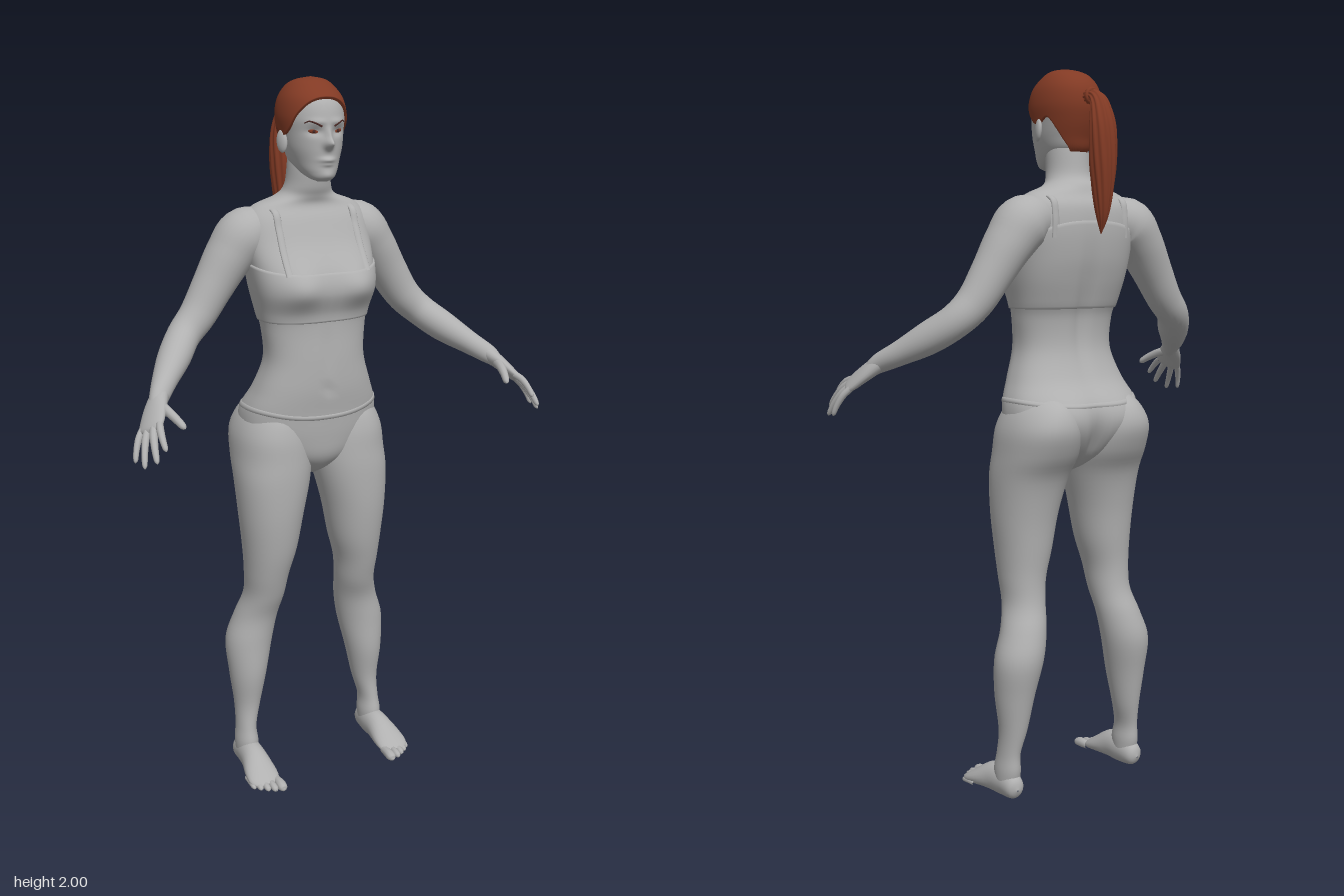
import * as THREE from 'three';

const V = (x, y, z) => new THREE.Vector3(x, y, z);
const skin = new THREE.MeshStandardMaterial({ color: 0xb0b0b0 });
skin.name = 'grey skin';
const hair = new THREE.MeshStandardMaterial({ color: 0x823a24 });
hair.name = 'auburn hair';
const dark = new THREE.MeshStandardMaterial({ color: 0x4a2a26 });
dark.name = 'dark eye';

// Catmull-Rom blend between rows of numbers
function spline(rows, t) {
  const n = rows.length, i = Math.max(0, Math.min(Math.floor(t), n - 2)), f = t - i;
  const P = k => rows[Math.max(0, Math.min(n - 1, i + k))];
  return rows[0].map((_, c) => {
    const a = P(-1)[c], b = P(0)[c], d = P(1)[c], e = P(2)[c];
    return b + 0.5 * f * (d - a + f * (2 * a - 5 * b + 4 * d - e + f * (3 * (b - d) + e - a)));
  });
}

// Closed rings joined into a smooth skin
function grid(rings, n, point) {
  const pos = [], idx = [];
  for (let i = 0; i <= rings; i++)
    for (let j = 0; j < n; j++) pos.push(...point(i / rings, j / n * Math.PI * 2).toArray());
  for (let i = 0; i < rings; i++)
    for (let j = 0; j < n; j++) {
      const a = i * n + j, b = i * n + (j + 1) % n;
      idx.push(a, b, a + n, b, b + n, a + n);
    }
  const g = new THREE.BufferGeometry();
  g.setAttribute('position', new THREE.Float32BufferAttribute(pos, 3));
  g.setIndex(idx);
  g.computeVertexNormals();
  return g;
}

// Body surface from level sections [y, centre x, half width, front z, back z, squareness]
function surface(rows, rule = p => p) {
  const at = (t, a) => {
    const [y, cx, w, f, b, e] = spline(rows, t);
    const pw = v => Math.sign(v) * Math.abs(v) ** (2 / e);
    return rule(V(cx + w * pw(Math.sin(a)), y, (f + b) / 2 + (f - b) / 2 * pw(Math.cos(a))));
  };
  const max = rows.length - 1;
  const tOf = y => {
    let lo = 0, hi = max;
    for (let k = 0; k < 30; k++) {
      const m = (lo + hi) / 2;
      if (spline(rows, m)[0] < y) lo = m; else hi = m;
    }
    return lo;
  };
  return { at, tOf, max, geo: (rings, n) => grid(rings, n, (s, a) => at(s * max, a)) };
}

// Thin layer over a surface, between two heights that vary with angle
function layer(surf, low, high, off, n, rings, centre) {
  return grid(rings, n, (s, a) => {
    const t0 = surf.tOf(low(a)), t1 = surf.tOf(high(a));
    const k = Math.min(1, Math.max(0, s * rings - 1) / rings * (rings / (rings - 2)));
    const p = surf.at(t0 + (t1 - t0) * k, a);
    const dir = V(p.x, centre.y === null ? 0 : p.y - centre.y, p.z - centre.z).normalize();
    const edge = s === 0 || (s === 1 && centre.y === null);
    return p.addScaledVector(dir, edge ? -0.003 : off);
  });
}

// Round limb along points [x, y, z, radius along ref, radius across]
function limb(rows, ref, rings = 24, n = 20, ridge = () => 1) {
  const max = rows.length - 1, at = t => V(...spline(rows, t).slice(0, 3));
  return grid(rings, n, (s, a) => {
    const t = s * max, row = spline(rows, t);
    const tan = at(Math.min(max, t + 0.05)).sub(at(Math.max(0, t - 0.05))).normalize();
    const u = ref.clone().addScaledVector(tan, -ref.dot(tan)).normalize();
    const v = tan.clone().cross(u), k = ridge(s, a);
    return V(row[0], row[1], row[2])
      .addScaledVector(u, Math.cos(a) * row[3] * k).addScaledVector(v, Math.sin(a) * row[4] * k);
  });
}

const bump = (dx, dy, sx, sy) => Math.exp(-((dx / sx) ** 2) - (dy / sy) ** 2);

export function createModel() {
  const model = new THREE.Group();
  model.name = 'woman';
  const add = (name, geo, mat = skin) => {
    const m = new THREE.Mesh(geo, mat);
    m.name = name;
    model.add(m);
  };
  // Left part plus its mirror image
  const both = (name, geo, mat = skin) => {
    add('left ' + name, geo, mat);
    const g = geo.clone().scale(-1, 1, 1), ix = g.index.array;
    for (let i = 0; i < ix.length; i += 3) [ix[i], ix[i + 1]] = [ix[i + 1], ix[i]];
    add('right ' + name, g, mat);
  };

  // Torso and neck, with bust, navel, spine and seat shaped by rule
  const torso = surface([
    [.905, 0, .012, -.03, -.07, 2], [.93, 0, .06, .01, -.12, 2], [.97, 0, .14, .04, -.17, 2.1],
    [1.03, 0, .195, .05, -.2, 2.3], [1.1, 0, .2, .055, -.198, 2.4], [1.17, 0, .172, .062, -.155, 2.4],
    [1.25, 0, .146, .062, -.127, 2.4], [1.33, 0, .15, .058, -.127, 2.4], [1.38, 0, .158, .06, -.142, 2.6],
    [1.44, 0, .17, .077, -.16, 2.8], [1.5, 0, .178, .066, -.174, 2.7], [1.57, 0, .185, .026, -.181, 2.5],
    [1.63, 0, .18, -.002, -.176, 2.3], [1.665, 0, .15, -.02, -.157, 2.1], [1.69, 0, .085, -.015, -.145, 2],
    [1.72, 0, .064, -.005, -.126, 2], [1.78, 0, .058, 0, -.118, 2], [1.83, 0, .05, -.02, -.11, 2]
  ], p => {
    const x = Math.abs(p.x);
    if (p.z > -.03) p.z += .02 * bump(x - .085, p.y - 1.455, .055, .05)
      - .006 * bump(x, p.y - 1.17, .012, .014) - .004 * bump(x, p.y - 1.28, .012, .07);
    else p.z += .012 * bump(x, p.y - 1.35, .02, .16) + .02 * bump(x, p.y - 1.0, .018, .06)
      - .015 * bump(x - .09, p.y - 1.06, .07, .06);
    return p;
  });
  add('torso', torso.geo(90, 80));

  // Sports top, its straps, and the waistband of the briefs
  const flat = { y: null, z: -.05 };
  add('sports top', layer(torso, () => 1.36, a => 1.515 - .02 * Math.cos(a) + .06 * Math.max(0, -Math.cos(a)),
    .004, 80, 26, flat));
  const strapRows = [];
  for (const [y, back] of [[1.49, 0], [1.55, 0], [1.61, 0], [1.655, 0], [1.655, 1], [1.61, 1], [1.55, 1]]) {
    const t = torso.tOf(y);
    let a = 0;
    while (a < 1.5 && torso.at(t, a).x < .115) a += .01;
    const p = torso.at(t, back ? Math.PI - a : a);
    strapRows.push([p.x, p.y, p.z, .011, .005]);
  }
  both('strap', limb(strapRows, V(1, 0, 0), 30, 10));
  const waist = a => 1.108 + .014 * Math.sin(a) ** 2 - .012 * Math.max(0, Math.cos(a)) ** 4;
  add('briefs waistband', layer(torso, a => waist(a) - .012, waist, .002, 80, 4, flat));

  // Legs
  const leg = surface([
    [.03, .21, .03, -.03, -.1, 2], [.08, .21, .033, -.02, -.112, 2], [.13, .209, .029, -.03, -.112, 2],
    [.2, .2, .038, -.035, -.125, 2], [.3, .195, .055, -.022, -.142, 2], [.4, .186, .069, -.022, -.16, 2],
    [.48, .166, .064, -.018, -.148, 2], [.55, .15, .058, .005, -.126, 2.1], [.62, .146, .063, .025, -.12, 2.1],
    [.7, .138, .077, .043, -.126, 2.1], [.8, .133, .092, .055, -.137, 2.1], [.9, .124, .106, .058, -.16, 2.2],
    [.97, .117, .11, .055, -.2, 2.2], [1.04, .117, .102, .048, -.222, 2.2], [1.1, .112, .078, .025, -.2, 2],
    [1.14, .11, .03, -.03, -.14, 2]
  ]);
  both('leg', leg.geo(70, 40));

  // Feet and toes
  both('foot', limb([
    [.213, .034, -.122, .002, .002], [.212, .036, -.108, .026, .03], [.21, .044, -.06, .034, .043],
    [.212, .043, -.01, .038, .042], [.216, .028, .045, .047, .027], [.218, .017, .082, .044, .015],
    [.218, .014, .102, .02, .006]], V(1, 0, 0), 30, 24));
  [[.183, .138, .014], [.206, .133, .01], [.224, .122, .0095], [.241, .109, .009], [.256, .094, .0085]]
    .forEach(([x, z, r], i) => both('toe ' + (i + 1), limb([
      [x, .014, z - .06, r * .8, r * .8], [x, .014, z - .03, r, r], [x, .012, z - .012, r, r * .9],
      [x, .01, z - .003, r * .65, r * .6], [x, .01, z, .0005, .0005]], V(1, 0, 0), 14, 10)));

  // Arms
  both('arm', limb([
    [.1, 1.6, -.1, .05, .05], [.17, 1.588, -.1, .077, .074], [.22, 1.535, -.1, .071, .066],
    [.27, 1.46, -.097, .058, .057], [.32, 1.385, -.09, .05, .05], [.37, 1.335, -.073, .047, .045],
    [.42, 1.29, -.02, .046, .043], [.47, 1.25, .04, .035, .033], [.505, 1.222, .088, .025, .027],
    [.522, 1.204, .107, .02, .02]], V(0, 0, 1), 50, 28));

  // Hands: palm, four fingers and thumb
  const across = V(.5, -.36, -.75).normalize();
  both('palm', limb([
    [.5, 1.227, .082, .024, .02], [.515, 1.212, .1, .03, .021], [.533, 1.192, .124, .037, .018],
    [.553, 1.167, .153, .039, .014], [.562, 1.158, .165, .03, .009], [.566, 1.154, .17, .001, .001]], across, 20, 20));
  const digit = (name, a, b, r) => {
    const m = k => a.clone().lerp(b, k).add(V(.004, .008, 0).multiplyScalar(Math.sin(k * Math.PI))).toArray();
    both(name, limb([[...m(0), r, r], [...m(.35), r, r], [...m(.7), r * .85, r * .85],
      [...m(.93), r * .65, r * .65], [...m(1), .0005, .0005]], across, 16, 10));
  };
  [['index finger', V(.552, 1.125, .25)], ['middle finger', V(.575, 1.095, .246)],
    ['ring finger', V(.597, 1.076, .215)], ['little finger', V(.605, 1.08, .17)]].forEach(([name, tip], i) =>
    digit(name, V(.555, 1.165, .155).addScaledVector(across, (i - 1.5) * .019), tip, .0105 - Math.abs(i - 1) * .0007));
  digit('thumb', V(.515, 1.207, .11), V(.486, 1.165, .215), .013);

  // Head, with nose, sockets, lips and chin shaped by rule
  const head = surface([
    [1.733, 0, .014, .035, .005, 2], [1.742, 0, .034, .048, -.02, 2], [1.76, 0, .05, .052, -.07, 2.1],
    [1.785, 0, .063, .053, -.115, 2.1], [1.82, 0, .074, .055, -.128, 2.1], [1.86, 0, .08, .056, -.142, 2.1],
    [1.9, 0, .084, .055, -.15, 2.1], [1.94, 0, .077, .042, -.144, 2.1], [1.97, 0, .059, .012, -.121, 2],
    [1.985, 0, .037, -.014, -.087, 2], [1.992, 0, .001, -.045, -.047, 2]
  ], p => {
    const x = Math.abs(p.x);
    if (p.z > 0) p.z += .027 * bump(x, p.y - 1.832, .012, .013) + .012 * bump(x, p.y - 1.853, .009, .02)
      + .009 * bump(x, p.y - 1.79, .02, .007) + .004 * bump(x, p.y - 1.778, .016, .005)
      + .005 * bump(x, p.y - 1.75, .02, .012) - .008 * bump(x - .033, p.y - 1.863, .02, .011)
      + .004 * bump(x - .03, p.y - 1.888, .025, .008);
    return p;
  });
  add('head', head.geo(110, 110));
  both('ear', new THREE.SphereGeometry(1, 16, 12).scale(.009, .03, .018).rotateY(-.35).rotateX(-.15)
    .translate(.086, 1.835, -.045));

  // Eyes and brows set onto the face
  const face = (y, a) => head.at(head.tOf(y), a);
  const eye = face(1.864, .43);
  both('eyelid', new THREE.SphereGeometry(1, 16, 10).scale(.015, .0055, .003).rotateZ(.12).rotateY(.35)
    .translate(eye.x, eye.y, eye.z), hair);
  both('iris', new THREE.SphereGeometry(1, 12, 8).scale(.005, .0045, .003).translate(eye.x, eye.y, eye.z + .002), dark);
  both('eyebrow', limb([[.2, 1.877], [.4, 1.885], [.6, 1.89], [.75, 1.885]].map(([a, y], i) =>
    [...face(y, a).toArray(), .003 - i * .0006, .002]), V(0, 1, 0), 14, 8), dark);

  // Swept-back hair with its hairline, and a ponytail with strand ridges
  const line = [[1.945], [1.942], [1.93], [1.905], [1.868], [1.852], [1.868], [1.84], [1.805], [1.775], [1.765]];
  const hairline = a => spline(line, (1 - Math.abs(1 - a / Math.PI)) * 10)[0];
  add('hair', layer(head, hairline, () => 1.992, .0075, 90, 44, { y: 1.87, z: -.045 }), hair);
  add('ponytail', limb([
    [0, 1.915, -.14, .022, .022], [0, 1.92, -.172, .018, .016], [0, 1.9, -.2, .026, .02],
    [0, 1.84, -.215, .036, .029], [0, 1.76, -.217, .036, .034], [0, 1.68, -.217, .028, .029],
    [0, 1.61, -.215, .016, .018], [0, 1.56, -.21, .001, .001]], V(1, 0, 0), 50, 48,
  (s, a) => 1 + .07 * Math.sin(a * 11 + s * 9)), hair);
  add('hair tie', new THREE.TorusGeometry(.018, .006, 10, 24).translate(0, 1.919, -.17), hair);

  return model;
}
